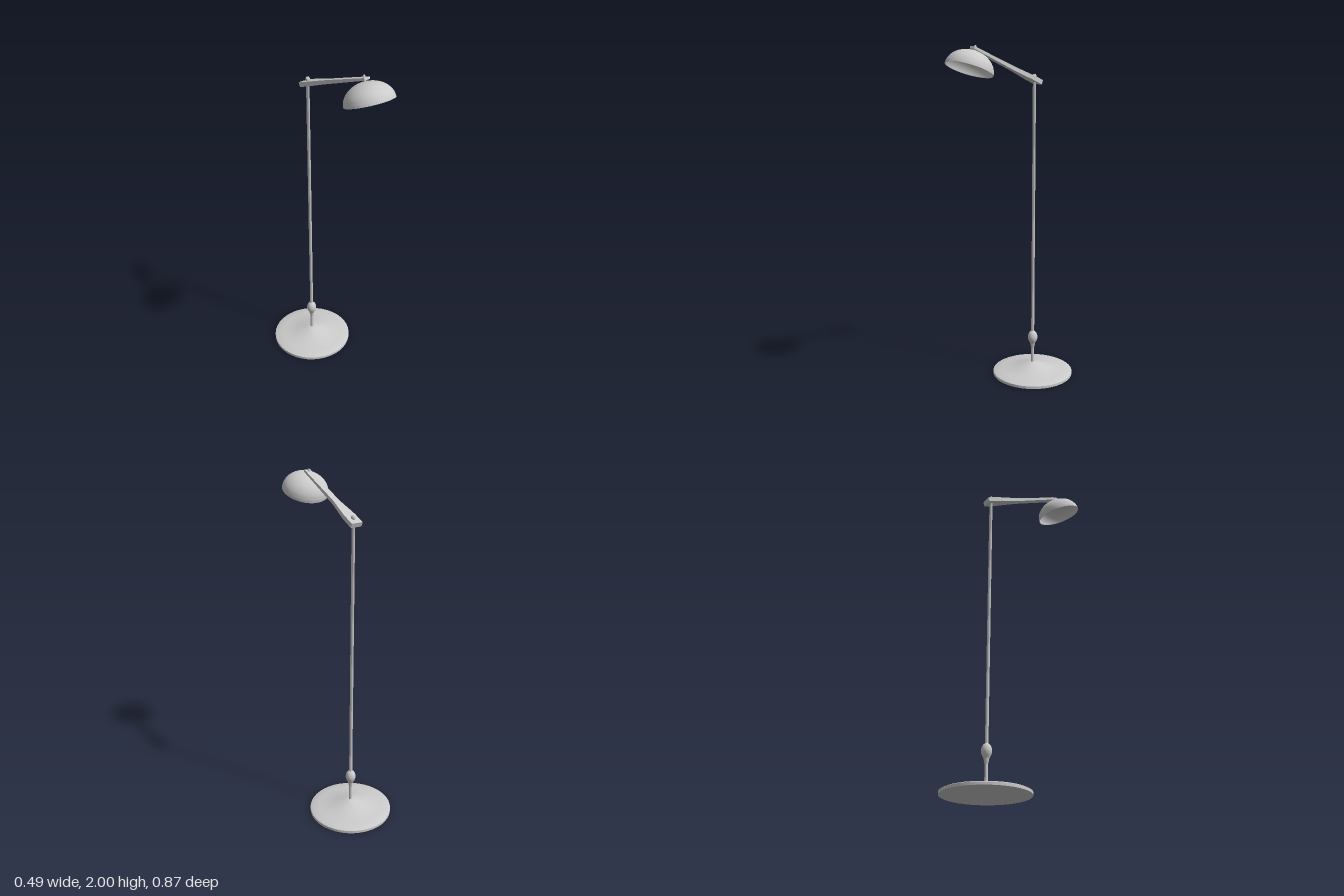
import * as THREE from 'three';
import { toCreasedNormals } from 'three/addons/utils/BufferGeometryUtils.js';

const grey = new THREE.MeshStandardMaterial({ color: 0xcccccc, side: THREE.DoubleSide });
const POLE_Z = -0.19;
const TILT = THREE.MathUtils.degToRad(-20.9);

function part(name, geometry, parent, x = 0, y = 0, z = 0) {
  const mesh = new THREE.Mesh(geometry, grey);
  mesh.name = name;
  mesh.position.set(x, y, z);
  parent.add(mesh);
  return mesh;
}

// Turned part from [radius, height] pairs, with sharp edges kept
function turned(points, segments = 32, crease = 0.6) {
  const profile = points.map(([r, y]) => new THREE.Vector2(r, y));
  return toCreasedNormals(new THREE.LatheGeometry(profile, segments), crease);
}

// Tapered bar running along +z from the origin
function armGeometry(length) {
  const geo = new THREE.BoxGeometry(1, 1, 1, 1, 1, 24);
  const pos = geo.attributes.position;
  for (let i = 0; i < pos.count; i++) {
    const t = pos.getZ(i) + 0.5;
    const width = THREE.MathUtils.lerp(0.066, 0.036, THREE.MathUtils.clamp((t - 0.15) / 0.25, 0, 1));
    const thickness = THREE.MathUtils.lerp(0.027, 0.013, t);
    pos.setXYZ(i, pos.getX(i) * width, pos.getY(i) * thickness, t * length);
  }
  geo.computeVertexNormals();
  return geo;
}

// Thin closed bowl: inner skin down to the rim, outer skin back to the crown
function shadeGeometry(radius, height, wall) {
  const points = [];
  const steps = 16;
  for (let i = 0; i <= steps; i++) {
    const a = (i / steps) * Math.PI / 2;
    points.push([(radius - wall) * Math.sin(a), (height - wall) * Math.cos(a)]);
  }
  for (let i = steps; i >= 0; i--) {
    const a = (i / steps) * Math.PI / 2;
    points.push([radius * Math.sin(a), height * Math.cos(a)]);
  }
  return turned(points, 48);
}

export function createModel() {
  const lamp = new THREE.Group();
  lamp.name = 'floorLamp';

  // Weighted foot sweeping up to the pole
  part('base', turned([
    [0, 0], [0.245, 0], [0.245, 0.016], [0.235, 0.021], [0.19, 0.027], [0.14, 0.035],
    [0.1, 0.046], [0.06, 0.059], [0.03, 0.068], [0.012, 0.073], [0, 0.074],
  ], 40), lamp, 0, 0, POLE_Z);

  // Pole with rounded tip, rising through the arm
  part('pole', turned([
    [0.0095, 0.06], [0.0095, 1.815], [0.0115, 1.82], [0.0115, 1.832], [0.008, 1.838], [0, 1.84],
  ], 20), lamp, 0, 0, POLE_Z);

  // Bulbous grip low on the pole
  const grip = new THREE.SplineCurve([
    [0.0095, 0.165], [0.013, 0.18], [0.016, 0.195], [0.026, 0.215], [0.03, 0.235],
    [0.026, 0.255], [0.018, 0.268], [0.0095, 0.275],
  ].map(([r, y]) => new THREE.Vector2(r, y)));
  part('grip', new THREE.LatheGeometry(grip.getPoints(24), 24), lamp, 0, 0, POLE_Z);

  // Sloping arm
  const arm = part('arm', armGeometry(0.544), lamp, 0, 1.793, -0.222);
  arm.rotation.x = TILT;

  // Tilted shade with its mounting stem
  const head = new THREE.Group();
  head.name = 'head';
  head.position.set(0, 1.872, 0.31);
  head.rotation.x = TILT;
  lamp.add(head);
  part('shade', shadeGeometry(0.133, 0.103, 0.004), head);
  part('stem', turned([
    [0.006, 0.098], [0.006, 0.131], [0.004, 0.135], [0, 0.136],
  ], 16), head);

  return lamp;
}
